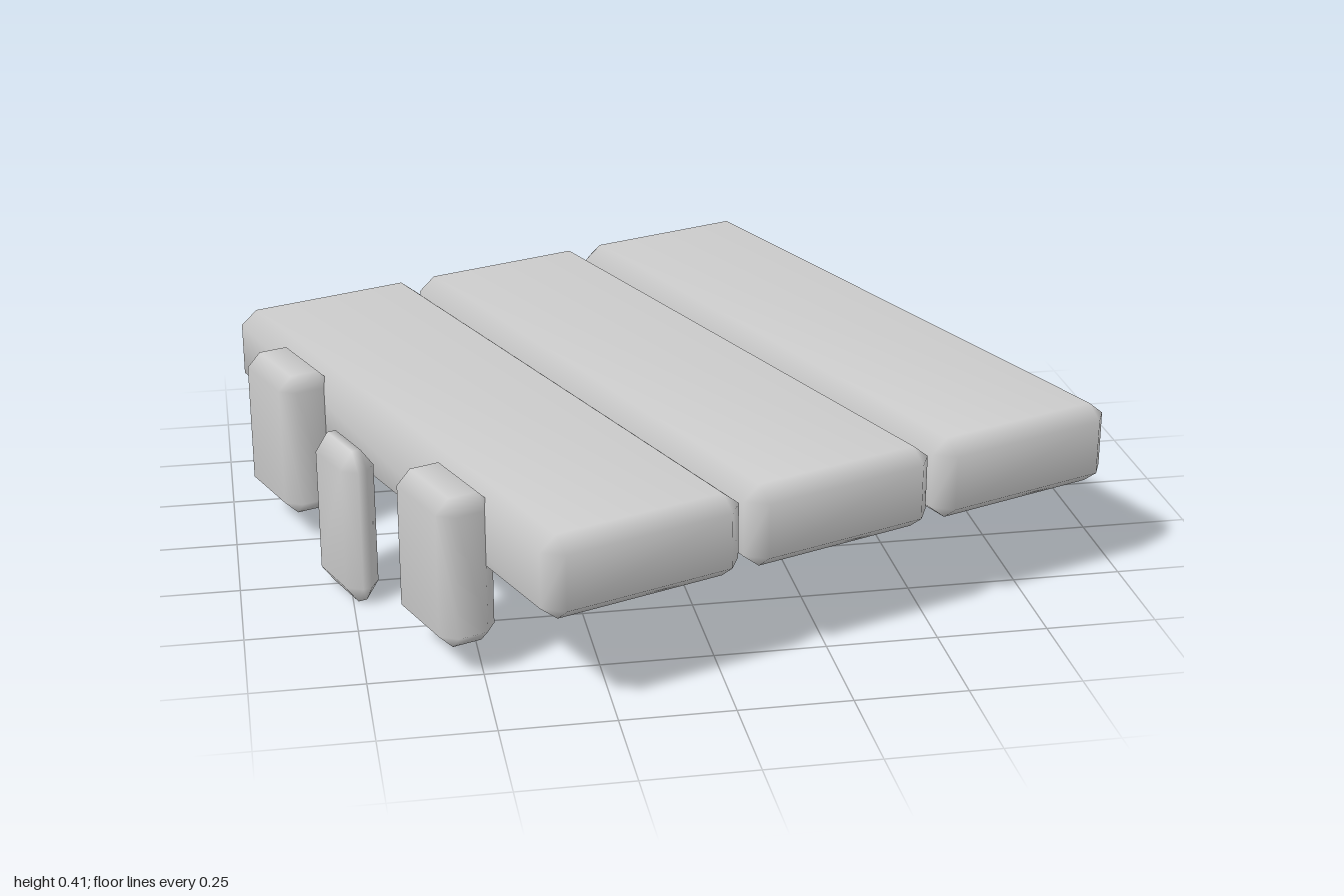
import * as THREE from 'three';
import { mergeVertices } from 'three/addons/utils/BufferGeometryUtils.js';
import { ConvexGeometry } from 'three/addons/geometries/ConvexGeometry.js';

// Box with every edge and corner chamfered, shaded smoothly
function bevelledBox(w, h, d, b, by) {
  const points = [];
  const [x, y, z] = [w / 2, h / 2, d / 2];
  for (const sx of [-1, 1]) for (const sy of [-1, 1]) for (const sz of [-1, 1]) {
    points.push(
      new THREE.Vector3(sx * x, sy * (y - by), sz * (z - b)),
      new THREE.Vector3(sx * (x - b), sy * y, sz * (z - b)),
      new THREE.Vector3(sx * (x - b), sy * (y - by), sz * z));
  }
  const hull = new ConvexGeometry(points);
  hull.deleteAttribute('normal');
  const geometry = mergeVertices(hull, 1e-4);
  geometry.computeVertexNormals();
  return geometry;
}

export function createModel() {
  const model = new THREE.Group();
  model.name = 'slabWithPegs';
  const grey = new THREE.MeshStandardMaterial({ color: 0xcccccc });
  grey.name = 'grey';
  const turn = 0.365;

  function add(name, geometry, x, y, z) {
    const mesh = new THREE.Mesh(geometry, grey);
    mesh.name = name;
    mesh.position.set(x, y, z);
    mesh.rotation.y = turn;
    model.add(mesh);
  }

  // Three planks side by side with narrow gaps
  const plank = bevelledBox(0.476, 0.19, 1.61, 0.04, 0.032);
  ['rightPlank', 'middlePlank', 'leftPlank'].forEach((name, i) => {
    add(name, plank, (i - 1) * 0.456, 0.32, (1 - i) * 0.174);
  });

  // Two broad pegs on the edge of the right plank
  const peg = bevelledBox(0.132, 0.345, 0.245, 0.032, 0.032);
  add('backPeg', peg, -0.853, 0.242, -0.103);
  add('frontPeg', peg, -0.565, 0.242, 0.65);

  // Slim lower peg between them
  add('middlePeg', bevelledBox(0.081, 0.368, 0.19, 0.03, 0.042), -0.752, 0.184, 0.288);

  return model;
}
